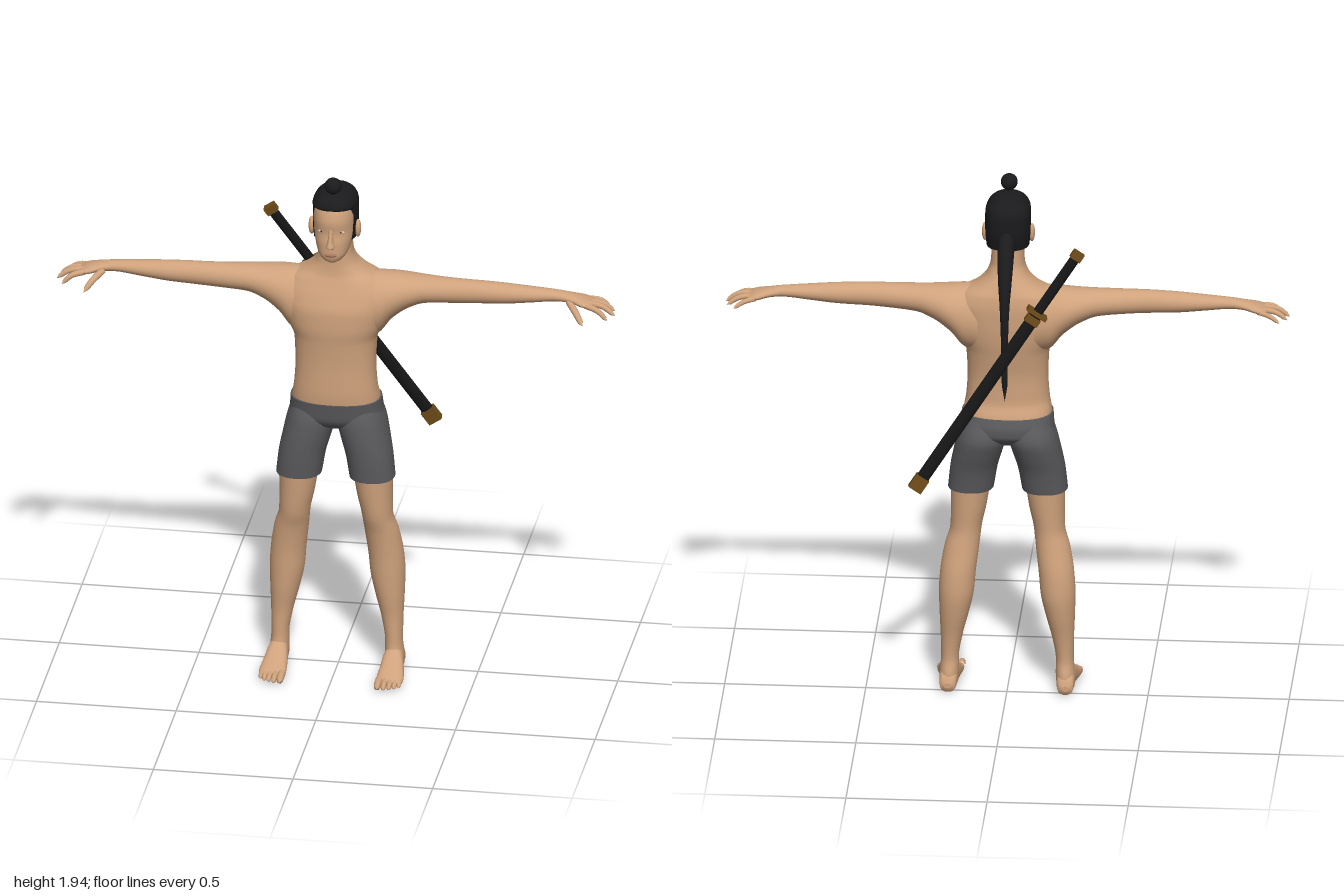
import * as THREE from 'three';

const material = (name, color) => {
  const m = new THREE.MeshStandardMaterial({ color });
  m.name = name;
  return m;
};

// Smooth interpolation through rows [t, ...values] without overshoot
function sampleRows(rows, t) {
  const last = rows.length - 1;
  let i = 0;
  while (i < last - 1 && t > rows[i + 1][0]) i++;
  const slope = (j, k) => (rows[j + 1][k] - rows[j][k]) / (rows[j + 1][0] - rows[j][0]);
  const tangent = (j, k) => {
    if (j === 0) return slope(0, k);
    if (j === last) return slope(last - 1, k);
    const a = slope(j - 1, k), b = slope(j, k);
    return a * b <= 0 ? 0 : (2 * a * b) / (a + b);
  };
  const h = rows[i + 1][0] - rows[i][0], u = (t - rows[i][0]) / h;
  const u2 = u * u, u3 = u2 * u;
  return [1, 2, 3, 4].map((k) =>
    (2 * u3 - 3 * u2 + 1) * rows[i][k] + (u3 - 2 * u2 + u) * h * tangent(i, k) +
    (3 * u2 - 2 * u3) * rows[i + 1][k] + (u3 - u2) * h * tangent(i + 1, k));
}

// Places (a, t, b) of a section so that the loft runs along y, x or z
const along = {
  y: (a, t, b) => [a, t, b],
  x: (a, t, b) => [t, b, a],
  z: (a, t, b) => [b, a, t],
};

// Closed skin through superellipse sections; rows are [t, aMin, aMax, bMin, bMax]
function loft(rows, axis = 'y', power = 2, sides = 32, steps = 4) {
  const pos = [], index = [], rings = [];
  rows.slice(0, -1).forEach((r, i) => {
    for (let s = 0; s < steps; s++) rings.push(r[0] + ((rows[i + 1][0] - r[0]) * s) / steps);
  });
  rings.push(rows[rows.length - 1][0]);
  const bend = (v) => Math.sign(v) * Math.pow(Math.abs(v), 2 / power);
  const addRing = (t) => {
    const [a0, a1, b0, b1] = sampleRows(rows, t);
    const start = pos.length / 3;
    for (let j = 0; j < sides; j++) {
      const q = (j / sides) * Math.PI * 2;
      pos.push(...along[axis]((a0 + a1) / 2 + (bend(Math.cos(q)) * (a1 - a0)) / 2, t,
        (b0 + b1) / 2 + (bend(Math.sin(q)) * (b1 - b0)) / 2));
    }
    return start;
  };
  rings.forEach(addRing);
  for (let i = 0; i < rings.length - 1; i++) {
    for (let j = 0; j < sides; j++) {
      const k = (j + 1) % sides, a = i * sides, b = a + sides;
      index.push(a + j, b + j, a + k, a + k, b + j, b + k);
    }
  }
  for (const top of [false, true]) {
    const t = top ? rings[rings.length - 1] : rings[0];
    const start = addRing(t), [a0, a1, b0, b1] = sampleRows(rows, t);
    const centre = pos.length / 3;
    pos.push(...along[axis]((a0 + a1) / 2, t, (b0 + b1) / 2));
    for (let j = 0; j < sides; j++) {
      const p = start + j, q = start + ((j + 1) % sides);
      index.push(centre, top ? q : p, top ? p : q);
    }
  }
  const g = new THREE.BufferGeometry();
  g.setAttribute('position', new THREE.Float32BufferAttribute(pos, 3));
  g.setIndex(index);
  g.computeVertexNormals();
  return g;
}

// Loft symmetric in x; rows are [y, halfWidth, zMin, zMax]
const bodyLoft = (rows, power) => loft(rows.map(([y, w, z0, z1]) => [y, -w, w, z0, z1]), 'y', power, 40);

// Tube whose radius follows a list
function taperTube(points, radii, steps = 18) {
  const curve = new THREE.CatmullRomCurve3(points.map((p) => new THREE.Vector3(...p)));
  const sides = 12, g = new THREE.TubeGeometry(curve, steps, 1, sides);
  const p = g.attributes.position, v = new THREE.Vector3();
  for (let i = 0; i < p.count; i++) {
    const u = Math.floor(i / (sides + 1)) / steps, c = curve.getPointAt(u);
    const f = u * (radii.length - 1), k = Math.min(Math.floor(f), radii.length - 2);
    const r = THREE.MathUtils.lerp(radii[k], radii[k + 1], f - k);
    v.fromBufferAttribute(p, i).sub(c).multiplyScalar(r).add(c);
    p.setXYZ(i, v.x, v.y, v.z);
  }
  return g;
}
const digit = (points, r) => taperTube(points, [1, 1, 1, 0.97, 0.93, 0.88, 0.75, 0].map((k) => k * r), 14);

function ellipsoid(x, y, z, rx, ry, rz) {
  return new THREE.SphereGeometry(1, 20, 14).scale(rx, ry, rz).translate(x, y, z);
}

// Mirrored copy across x = 0 with its faces turned back outward
function mirrored(geometry) {
  const g = geometry.clone(), n = g.attributes.normal;
  const p = g.attributes.position, ix = g.index.array;
  for (let i = 0; i < p.count; i++) {
    p.setX(i, -p.getX(i));
    n.setX(i, -n.getX(i));
  }
  for (let i = 0; i < ix.length; i += 3) [ix[i], ix[i + 1]] = [ix[i + 1], ix[i]];
  return g;
}

export function createModel() {
  const skin = material('skin', 0xcfa27c), cloth = material('grey cloth', 0x5b5b5e);
  const hair = material('black hair', 0x1b1b1d), black = material('black lacquer', 0x161617);
  const gold = material('dark gold', 0x6e4c1a), lip = material('lip', 0xad785f);
  const white = material('eye white', 0xd8d0c8);
  const model = new THREE.Group();
  const add = (name, g, m, parent = model) => {
    const mesh = new THREE.Mesh(g, m);
    mesh.name = name;
    parent.add(mesh);
    return mesh;
  };
  const pair = (name, g, m) => {
    add('left' + name, g, m);
    add('right' + name, mirrored(g), m);
  };

  // Torso and neck
  add('torso', bodyLoft([
    [1.0, 0.15, -0.06, 0.135], [1.06, 0.157, -0.062, 0.152], [1.12, 0.148, -0.042, 0.156],
    [1.2, 0.143, -0.042, 0.156], [1.3, 0.147, -0.056, 0.162], [1.36, 0.17, -0.066, 0.168],
    [1.42, 0.188, -0.071, 0.167], [1.48, 0.195, -0.072, 0.15], [1.53, 0.165, -0.066, 0.13],
    [1.56, 0.112, -0.055, 0.12], [1.6, 0.073, -0.036, 0.116], [1.64, 0.06, -0.02, 0.115],
    [1.72, 0.056, -0.015, 0.11]], 2.3), skin);

  // Shorts
  add('shortsHips', bodyLoft([
    [0.945, 0.04, 0.0, 0.08], [0.97, 0.12, -0.045, 0.125], [1.0, 0.168, -0.074, 0.145],
    [1.03, 0.165, -0.077, 0.151], [1.067, 0.162, -0.067, 0.157]], 2.4), cloth);
  pair('ShortsLeg', loft([
    [0.767, 0.05, 0.212, -0.026, 0.142], [0.85, 0.036, 0.203, -0.042, 0.148],
    [0.92, 0.016, 0.19, -0.066, 0.15], [0.98, 0.002, 0.177, -0.081, 0.148],
    [1.05, 0.004, 0.155, -0.06, 0.13]], 'y', 2.2), cloth);

  // Legs
  pair('Leg', loft([
    [0.02, 0.178, 0.238, -0.025, 0.07], [0.06, 0.172, 0.24, -0.027, 0.078],
    [0.12, 0.172, 0.235, -0.013, 0.07], [0.2, 0.16, 0.236, -0.02, 0.07],
    [0.3, 0.135, 0.24, -0.04, 0.08], [0.38, 0.118, 0.242, -0.049, 0.085],
    [0.45, 0.112, 0.238, -0.045, 0.088], [0.55, 0.1, 0.222, -0.026, 0.1],
    [0.62, 0.092, 0.203, -0.016, 0.118], [0.7, 0.075, 0.202, -0.02, 0.127],
    [0.8, 0.06, 0.203, -0.025, 0.135]]), skin);

  // Feet and toes
  pair('Foot', loft([
    [-0.036, 0.02, 0.04, 0.195, 0.222], [-0.026, 0.004, 0.062, 0.18, 0.236],
    [0.01, 0.0, 0.095, 0.174, 0.24], [0.06, 0.0, 0.1, 0.17, 0.243],
    [0.11, 0.002, 0.066, 0.165, 0.252], [0.16, 0.002, 0.043, 0.162, 0.258],
    [0.195, 0.006, 0.028, 0.168, 0.252]], 'z', 2.3), skin);
  [[0.174, 0.238, 0.0135], [0.196, 0.236, 0.0105], [0.215, 0.229, 0.01], [0.232, 0.22, 0.0095], [0.247, 0.207, 0.009]]
    .forEach(([x, z, r], i) => pair('Toe' + (i + 1),
      digit([[x, 0.024, z - 0.065], [x, 0.021, z - 0.03], [x, r, z]], r), skin));

  // Arms with palms
  pair('Arm', loft([
    [0.1, -0.06, 0.135, 1.3, 1.545], [0.15, -0.064, 0.132, 1.315, 1.55],
    [0.2, -0.062, 0.12, 1.375, 1.548], [0.26, -0.045, 0.102, 1.42, 1.545],
    [0.32, -0.025, 0.09, 1.443, 1.543], [0.4, -0.01, 0.085, 1.45, 1.541],
    [0.5, 0.0, 0.08, 1.456, 1.54], [0.6, 0.0, 0.077, 1.461, 1.536],
    [0.7, 0.003, 0.07, 1.472, 1.529], [0.8, 0.008, 0.061, 1.482, 1.521],
    [0.84, 0.002, 0.066, 1.48, 1.514], [0.89, -0.012, 0.083, 1.471, 1.502],
    [0.918, -0.006, 0.076, 1.473, 1.49]], 'x'), skin);

  // Fingers
  [['Thumb', [0.835, 1.488, 0.055], [0.868, 1.462, 0.098], [0.893, 1.428, 0.122], 0.0125],
    ['IndexFinger', [0.895, 1.484, 0.068], [0.942, 1.473, 0.083], [0.977, 1.44, 0.09], 0.0105],
    ['MiddleFinger', [0.9, 1.486, 0.046], [0.955, 1.478, 0.053], [1.0, 1.446, 0.056], 0.0105],
    ['RingFinger', [0.9, 1.485, 0.023], [0.952, 1.476, 0.02], [0.994, 1.448, 0.018], 0.01],
    ['LittleFinger', [0.89, 1.483, 0.0], [0.932, 1.475, -0.016], [0.968, 1.453, -0.026], 0.009],
  ].forEach(([name, a, b, c, r]) => pair(name, digit([a, b, c], r), skin));

  // Head and face
  add('head', bodyLoft([
    [1.625, 0.018, 0.1, 0.155], [1.637, 0.036, 0.075, 0.171], [1.66, 0.054, 0.045, 0.177],
    [1.7, 0.066, 0.01, 0.177], [1.74, 0.073, -0.018, 0.172], [1.78, 0.075, -0.028, 0.176],
    [1.82, 0.073, -0.028, 0.168], [1.85, 0.06, -0.02, 0.15], [1.868, 0.03, 0.02, 0.1]], 2.2), skin);
  add('nose', loft([
    [1.688, -0.012, 0.012, 0.16, 0.186], [1.697, -0.017, 0.017, 0.15, 0.202],
    [1.715, -0.011, 0.011, 0.15, 0.196], [1.76, -0.007, 0.007, 0.15, 0.177]], 'y', 2, 16), skin);
  add('lips', ellipsoid(0, 1.663, 0.176, 0.022, 0.0075, 0.0065), lip);
  pair('Ear', ellipsoid(0.083, 1.733, 0.08, 0.011, 0.034, 0.018).rotateZ(0), skin);
  pair('Eye', ellipsoid(0.034, 1.748, 0.159, 0.0135, 0.005, 0.0045).rotateY(0), white);
  pair('Iris', ellipsoid(0.034, 1.748, 0.162, 0.0045, 0.0045, 0.0025), hair);

  // Hair cap, topknot and ponytail
  add('hairCap', bodyLoft([
    [1.7, 0.076, -0.02, 0.143], [1.76, 0.08, -0.037, 0.149], [1.82, 0.08, -0.041, 0.15],
    [1.832, 0.079, -0.04, 0.17], [1.85, 0.072, -0.034, 0.166], [1.87, 0.052, -0.012, 0.142],
    [1.88, 0.032, 0.015, 0.112], [1.884, 0.012, 0.04, 0.08]], 2.5), hair);
  add('topknot', new THREE.SphereGeometry(0.03, 24, 16).translate(0, 1.908, 0.12), hair);
  add('ponytail', taperTube([
    [0, 1.76, -0.015], [0, 1.71, -0.055], [0, 1.62, -0.1], [0, 1.5, -0.121], [0, 1.3, -0.118], [0, 1.16, -0.11]],
  [0.028, 0.03, 0.027, 0.023, 0.018, 0.015, 0.013, 0.012, 0.011, 0.01, 0], 40), hair);

  // Sheathed sword slung across the back, its grip at +y
  const gripEnd = new THREE.Vector3(-0.262, 1.725, -0.072), tip = new THREE.Vector3(0.312, 0.862, -0.225);
  const up = gripEnd.clone().sub(tip), length = up.length();
  up.normalize();
  const side = new THREE.Vector3().crossVectors(up, new THREE.Vector3(0, 0, 1)).normalize();
  const sword = new THREE.Group();
  sword.name = 'sword';
  sword.position.copy(tip);
  sword.quaternion.setFromRotationMatrix(
    new THREE.Matrix4().makeBasis(side, up, new THREE.Vector3().crossVectors(side, up)));
  model.add(sword);
  const guard = length * 0.74;
  const rod = (name, y0, y1, w, d, m) => add(name,
    new THREE.CylinderGeometry(0.5, 0.5, y1 - y0, 20).scale(w, 1, d).translate(0, (y0 + y1) / 2, 0), m, sword);
  const block = (name, y0, y1, w, d, m) => add(name,
    new THREE.BoxGeometry(w, y1 - y0, d).translate(0, (y0 + y1) / 2, 0), m, sword);
  rod('scabbard', 0.04, guard, 0.046, 0.026, black);
  block('scabbardTip', 0, 0.055, 0.052, 0.03, gold);
  block('scabbardMouth', guard - 0.04, guard - 0.012, 0.052, 0.032, gold);
  block('guard', guard - 0.004, guard + 0.01, 0.078, 0.05, gold);
  rod('grip', guard, length - 0.02, 0.036, 0.025, black);
  block('pommel', length - 0.03, length, 0.042, 0.03, gold);
  return model;
}
